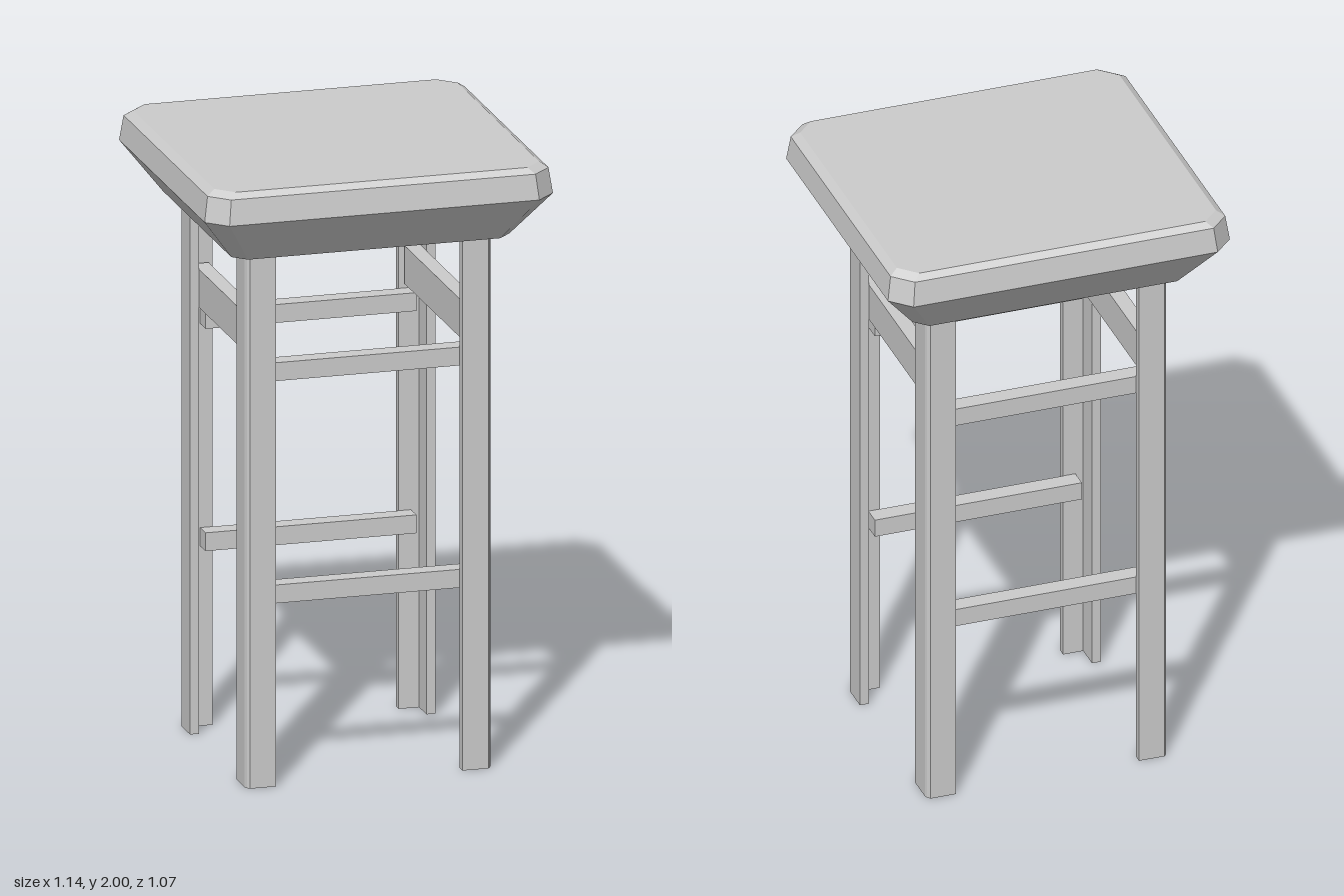
import * as THREE from 'three';

const grey = new THREE.MeshStandardMaterial({ color: 0xcccccc, flatShading: true });

function addMesh(group, geometry, name) {
  const mesh = new THREE.Mesh(geometry, grey);
  mesh.name = name;
  group.add(mesh);
  return mesh;
}

function addBar(group, name, size, position) {
  addMesh(group, new THREE.BoxGeometry(...size), name).position.set(...position);
}

// Rectangle with cut corners at height y
function ring(y, hx, hz, cut) {
  return [
    [hx, -hz + cut], [hx, hz - cut], [hx - cut, hz], [-hx + cut, hz],
    [-hx, hz - cut], [-hx, -hz + cut], [-hx + cut, -hz], [hx - cut, -hz],
  ].map(([x, z]) => [x, y, z]);
}

// Stack of rings joined by flat facets and capped at both ends
function loft(rings) {
  const pos = [];
  const n = rings[0].length;
  const bottom = rings[0], top = rings[rings.length - 1];
  for (let j = 0; j < n; j++) {
    const k = (j + 1) % n;
    for (let i = 0; i < rings.length - 1; i++) {
      const a = rings[i][j], b = rings[i][k], c = rings[i + 1][k], d = rings[i + 1][j];
      pos.push(...a, ...d, ...c, ...a, ...c, ...b);
    }
    pos.push(0, bottom[0][1], 0, ...bottom[j], ...bottom[k]);
    pos.push(0, top[0][1], 0, ...top[k], ...top[j]);
  }
  const geometry = new THREE.BufferGeometry();
  geometry.setAttribute('position', new THREE.Float32BufferAttribute(pos, 3));
  geometry.computeVertexNormals();
  return geometry;
}

// Angle-section leg with an eased outer corner
function legGeometry(sx, sz) {
  const t = 0.03;
  const outline = [
    [0.305, 0.367], [0.39, 0.367], [0.398, 0.358], [0.402, 0.347], [0.402, 0.255],
    [0.402 - t, 0.255], [0.402 - t, 0.367 - t], [0.305, 0.367 - t],
  ];
  const shape = new THREE.Shape(outline.map(([x, z]) => new THREE.Vector2(sx * x, -sz * z)));
  const geometry = new THREE.ExtrudeGeometry(shape, { depth: 1.75, bevelEnabled: false });
  return geometry.rotateX(-Math.PI / 2);
}

export function createModel() {
  const model = new THREE.Group();
  model.name = 'stool';

  // Seat: tapered underside, near-upright rim, bevelled top edge
  addMesh(model, loft([
    ring(1.75, 0.455, 0.42, 0.042),
    ring(1.9, 0.57, 0.535, 0.063),
    ring(1.982, 0.558, 0.523, 0.06),
    ring(2.0, 0.532, 0.503, 0.055),
  ]), 'seat');

  // Legs
  for (const sx of [-1, 1]) {
    for (const sz of [-1, 1]) {
      addMesh(model, legGeometry(sx, sz), `${sz > 0 ? 'front' : 'back'}${sx > 0 ? 'Left' : 'Right'}Leg`);
    }
  }

  // Rails, set against the inside of the legs
  for (const s of [-1, 1]) {
    const end = s > 0 ? 'front' : 'back';
    addBar(model, `${end}LowerRail`, [0.69, 0.06, 0.06], [0, 0.62, s * 0.305]);
    addBar(model, `${end}UpperRail`, [0.69, 0.06, 0.06], [0, 1.348, s * 0.305]);
    addBar(model, `${s > 0 ? 'left' : 'right'}SideRail`, [0.05, 0.125, 0.65], [s * 0.346, 1.457, 0]);
  }
  return model;
}
